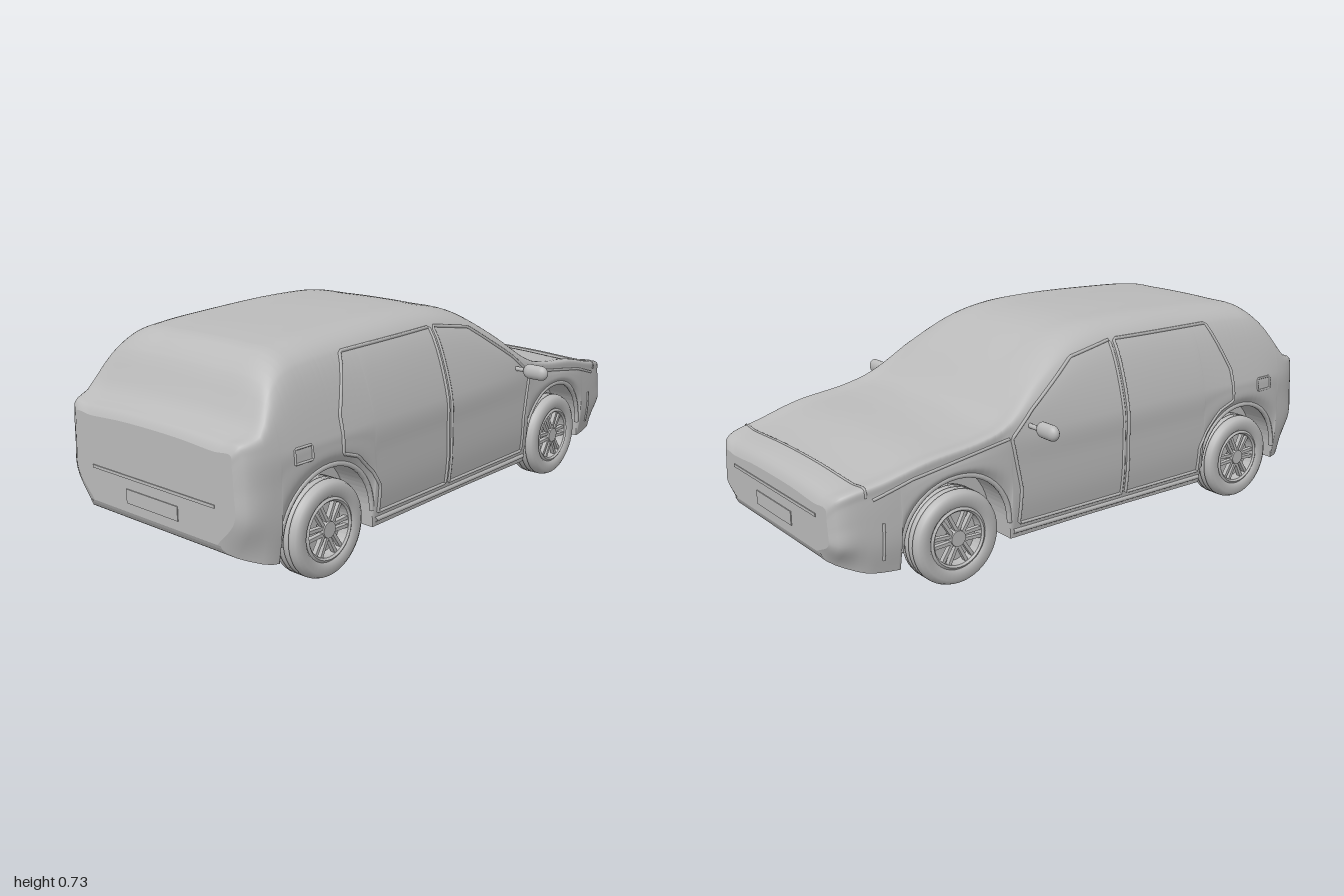
import * as THREE from 'three';

const paint = new THREE.MeshStandardMaterial({ color: 0xbababa });
paint.name = 'grey paint';

const WHEEL_X = [-0.67, 0.59], WHEEL_Y = 0.155, ARCH_R = 0.2;

// Smooth function through a few [x, value] points
function profile(points) {
  const curve = new THREE.CatmullRomCurve3(points.map(([x, y]) => new THREE.Vector3(x, y, 0)), false, 'centripetal');
  const s = curve.getPoints(300);
  return (x) => {
    let i = 0;
    while (i < s.length - 2 && s[i + 1].x < x) i++;
    const t = THREE.MathUtils.clamp((x - s[i].x) / (s[i + 1].x - s[i].x || 1), 0, 1);
    return s[i].y + (s[i + 1].y - s[i].y) * t;
  };
}
const topY = profile([[-1, 0.465], [-0.985, 0.49], [-0.95, 0.503], [-0.92, 0.52], [-0.89, 0.575], [-0.84, 0.655],
  [-0.78, 0.7], [-0.7, 0.714], [-0.5, 0.726], [-0.2, 0.733], [0, 0.722], [0.12, 0.69], [0.25, 0.612], [0.4, 0.492],
  [0.5, 0.462], [0.7, 0.435], [0.85, 0.398], [0.95, 0.378], [0.985, 0.362], [1, 0.335]]);
const halfWidth = profile([[-1, 0.36], [-0.985, 0.387], [-0.95, 0.407], [-0.85, 0.424], [-0.5, 0.43], [0.45, 0.43],
  [0.75, 0.422], [0.9, 0.406], [0.96, 0.393], [0.985, 0.378], [1, 0.35]]);
const floorY = profile([[-1, 0.175], [-0.985, 0.148], [-0.93, 0.122], [-0.85, 0.107], [0, 0.105], [0.85, 0.107],
  [0.93, 0.125], [0.985, 0.148], [1, 0.175]]);

// Lower edge of the side, lifted over the wheels
function edgeY(x) {
  for (const cx of WHEEL_X) {
    const d = Math.abs(x - cx);
    if (d <= ARCH_R) return WHEEL_Y + Math.sqrt(Math.max(0, ARCH_R ** 2 - d * d));
  }
  return floorY(x);
}

// Cross-section over the roof, from the left lower edge to the right one
function section(x) {
  const T = topY(x), w = halfWidth(x), b = edgeY(x);
  const belt = Math.min(0.45, T - 0.04);
  const cabin = THREE.MathUtils.clamp((T - 0.47) / 0.26, 0, 1);
  const tuck = 0.015 + 0.06 * THREE.MathUtils.smoothstep(Math.abs(x), 0.9, 1);
  const zs = w - 0.008 - 0.077 * cabin, ys = belt + (T - belt) * 0.79;
  const half = [[w - tuck, b], [w, b + 0.35 * (belt - b)], [w, b + 0.7 * (belt - b)], [w - 0.004, belt],
    [zs, ys], [zs - 0.07, T - 0.01], [0.14, T - 0.002]];
  const pts = [...half, [0, T], ...half.slice().reverse().map(([z, y]) => [-z, y])];
  return new THREE.CatmullRomCurve3(pts.map(([z, y]) => new THREE.Vector3(x, y, z)), false, 'centripetal').getPoints(84);
}

// Floor and wheel wells, from right to left
function underSection(x) {
  const s = section(x)[0], f = floorY(x), inner = 0.3;
  return [[-s.z, s.y], [-inner, s.y], [-inner, f], [inner, f], [inner, s.y], [s.z, s.y]]
    .map(([z, y]) => new THREE.Vector3(x, y, z));
}

function loft(rows) {
  const n = rows[0].length, pos = [], index = [];
  rows.forEach((r) => r.forEach((p) => pos.push(p.x, p.y, p.z)));
  for (let i = 0; i < rows.length - 1; i++) for (let j = 0; j < n - 1; j++) {
    const a = i * n + j, b = a + n;
    index.push(a, b, b + 1, a, b + 1, a + 1);
  }
  const g = new THREE.BufferGeometry();
  g.setAttribute('position', new THREE.Float32BufferAttribute(pos, 3));
  g.setIndex(index);
  g.computeVertexNormals();
  return g;
}

function endCap(x) {
  const ring = section(x), c = new THREE.Vector3(x, 0.27, 0), pos = [];
  ring.forEach((p, j) => {
    const q = ring[(j + 1) % ring.length];
    for (const v of x > 0 ? [c, q, p] : [c, p, q]) pos.push(v.x, v.y, v.z);
  });
  const g = new THREE.BufferGeometry();
  g.setAttribute('position', new THREE.Float32BufferAttribute(pos, 3));
  g.computeVertexNormals();
  return g;
}

// Depth of the body side at a given x and height
function sideZ(x, y) {
  const s = section(x);
  for (let j = 0; j < 42; j++) {
    if (s[j].y <= y && s[j + 1].y >= y) {
      return s[j].z + (s[j + 1].z - s[j].z) * (y - s[j].y) / (s[j + 1].y - s[j].y || 1);
    }
  }
  return s[0].z;
}

export function createModel() {
  const car = new THREE.Group();
  car.name = 'car';
  const add = (geo, name, parent = car, x = 0, y = 0, z = 0) => {
    const m = new THREE.Mesh(geo, paint);
    m.name = name;
    m.position.set(x, y, z);
    parent.add(m);
    return m;
  };

  // Body shell
  const xs = [-1, -0.995, -0.985, -0.97, 0.97, 0.985, 0.995, 1];
  for (let x = -0.95; x < 0.96; x += 0.025) xs.push(x);
  for (const cx of WHEEL_X) {
    for (let i = 0; i <= 32; i++) xs.push(cx + (ARCH_R - 1e-6) * Math.cos(i * Math.PI / 32));
    xs.push(cx - ARCH_R - 0.002, cx + ARCH_R + 0.002);
  }
  xs.sort((a, b) => a - b);
  add(loft(xs.map(section)), 'bodyShell');
  const under = loft(xs.map(underSection)).toNonIndexed();
  under.computeVertexNormals();
  add(under, 'underbody');
  add(endCap(1), 'noseFace');
  add(endCap(-1), 'tailFace');

  // Trim lines laid on both sides
  const sideTrim = (points, name, radius = 0.005, closed = false) => {
    for (const s of [1, -1]) {
      const path = new THREE.CurvePath(), v = [];
      const src = closed ? [...points, points[0]] : points;
      for (let i = 0; i < src.length - 1; i++) {
        const [x0, y0] = src[i], [x1, y1] = src[i + 1];
        const n = Math.max(1, Math.ceil(Math.hypot(x1 - x0, y1 - y0) / 0.04));
        for (let k = 0; k < n; k++) {
          const x = x0 + (x1 - x0) * k / n, y = y0 + (y1 - y0) * k / n;
          v.push(new THREE.Vector3(x, y, s * sideZ(x, y)));
        }
      }
      const [xe, ye] = src[src.length - 1];
      v.push(new THREE.Vector3(xe, ye, s * sideZ(xe, ye)));
      for (let i = 0; i < v.length - 1; i++) path.add(new THREE.LineCurve3(v[i], v[i + 1]));
      add(new THREE.TubeGeometry(path, v.length * 3, radius, 6), name);
    }
  };
  sideTrim([[-0.45, 0.15], [-0.1, 0.15], [-0.1, 0.675], [-0.54, 0.67], [-0.615, 0.5], [-0.62, 0.385], [-0.55, 0.36],
    [-0.48, 0.29], [-0.45, 0.24]], 'rearDoorSeam', 0.006, true);
  sideTrim([[-0.08, 0.15], [0.36, 0.15], [0.355, 0.27], [0.39, 0.44], [0.3, 0.515], [0.1, 0.645], [-0.08, 0.675]],
    'frontDoorSeam', 0.006, true);
  sideTrim([[-0.46, 0.125], [0.38, 0.125]], 'sillTrim', 0.009);
  sideTrim([[0.4, 0.442], [0.6, 0.41], [0.75, 0.385], [0.88, 0.345]], 'wingSeam');
  sideTrim([[0.85, 0.15], [0.85, 0.27]], 'bumperSeam');
  sideTrim([[-0.82, 0.4], [-0.75, 0.4], [-0.75, 0.445], [-0.82, 0.445]], 'fuelFlap', 0.004, true);
  for (const cx of WHEEL_X) {
    const arch = [];
    for (let i = 0; i <= 20; i++) {
      const a = i * Math.PI / 20;
      arch.push([cx + 0.199 * Math.cos(a), WHEEL_Y + 0.005 + 0.199 * Math.sin(a)]);
    }
    sideTrim(arch, 'wheelArchTrim', 0.009);
  }

  // Bonnet gap across the nose
  const gap = section(0.9).filter((p) => p.y > 0.35);
  add(new THREE.TubeGeometry(new THREE.CatmullRomCurve3(gap), 60, 0.004, 6), 'bonnetGap');

  // Bars and number plates at both ends
  for (const s of [1, -1]) {
    const end = s > 0 ? 'front' : 'rear';
    add(new THREE.BoxGeometry(0.008, 0.01, 0.56), end + 'Bar', car, s * 0.999, 0.29, 0);
    add(new THREE.BoxGeometry(0.008, 0.046, 0.236), end + 'Plate', car, s * 0.999, 0.228, 0);
  }

  // Wheels
  const R = 0.155, h = 0.055;
  const tyreProfile = [[0.1, -h + 0.01], [0.11, -h], [0.135, -h], [0.148, -h + 0.008], [0.154, -0.034], [0.155, -0.026],
    [0.149, -0.024], [0.149, -0.019], [R, -0.017], [R, -0.004], [0.149, -0.002], [0.149, 0.002], [R, 0.004], [R, 0.017],
    [0.149, 0.019], [0.149, 0.024], [0.155, 0.026], [0.154, 0.034], [0.148, h - 0.008], [0.135, h], [0.11, h], [0.1, h - 0.01]];
  const tyre = new THREE.LatheGeometry(tyreProfile.map(([r, y]) => new THREE.Vector2(r, y)), 48).rotateX(Math.PI / 2);
  const rim = new THREE.LatheGeometry([[0, 0.012], [0.086, 0.012], [0.088, 0.046], [0.094, 0.052], [0.103, 0.046]]
    .reverse().map(([r, y]) => new THREE.Vector2(r, y)), 40).rotateX(Math.PI / 2);
  rim.setIndex([...rim.index.array].reverse());
  const rimGeo = rim.toNonIndexed();
  // Orient every rim face outward
  const rp = rimGeo.attributes.position, a = new THREE.Vector3(), b = new THREE.Vector3(), c = new THREE.Vector3();
  rimGeo.computeVertexNormals();
  a.fromBufferAttribute(rp, 0); b.fromBufferAttribute(rp, 1); c.fromBufferAttribute(rp, 2);
  const rimMat = paint;
  rimMat.side = THREE.DoubleSide;
  for (const s of [1, -1]) WHEEL_X.forEach((x, k) => {
    const wheel = new THREE.Group();
    wheel.name = k ? 'frontWheel' : 'rearWheel';
    wheel.position.set(x, WHEEL_Y, s * 0.37);
    if (s < 0) wheel.rotation.y = Math.PI;
    add(tyre, 'tyre', wheel);
    add(rimGeo, 'rim', wheel);
    add(new THREE.CylinderGeometry(0.1, 0.1, 0.01, 32).rotateX(Math.PI / 2), 'innerDisc', wheel, 0, 0, -0.04);
    add(new THREE.CylinderGeometry(0.026, 0.03, 0.03, 24).rotateX(Math.PI / 2), 'hub', wheel, 0, 0, 0.034);
    for (let i = 0; i < 6; i++) for (const d of [-1, 1]) {
      const spoke = new THREE.BoxGeometry(0.07, 0.011, 0.016).translate(0.056, d * 0.009, 0.036);
      add(spoke.rotateZ(i * Math.PI / 3 + d * 0.05), 'spoke', wheel);
    }
    car.add(wheel);
  });

  // Door mirrors
  for (const s of [1, -1]) {
    const pod = new THREE.CapsuleGeometry(0.026, 0.045, 8, 20).rotateX(Math.PI / 2).scale(0.75, 1, 1);
    add(pod, 'mirror', car, 0.31, 0.468, s * 0.506);
    add(new THREE.CylinderGeometry(0.008, 0.008, 0.07, 12).rotateX(Math.PI / 2), 'mirrorArm', car, 0.315, 0.468, s * 0.44);
  }
  return car;
}
